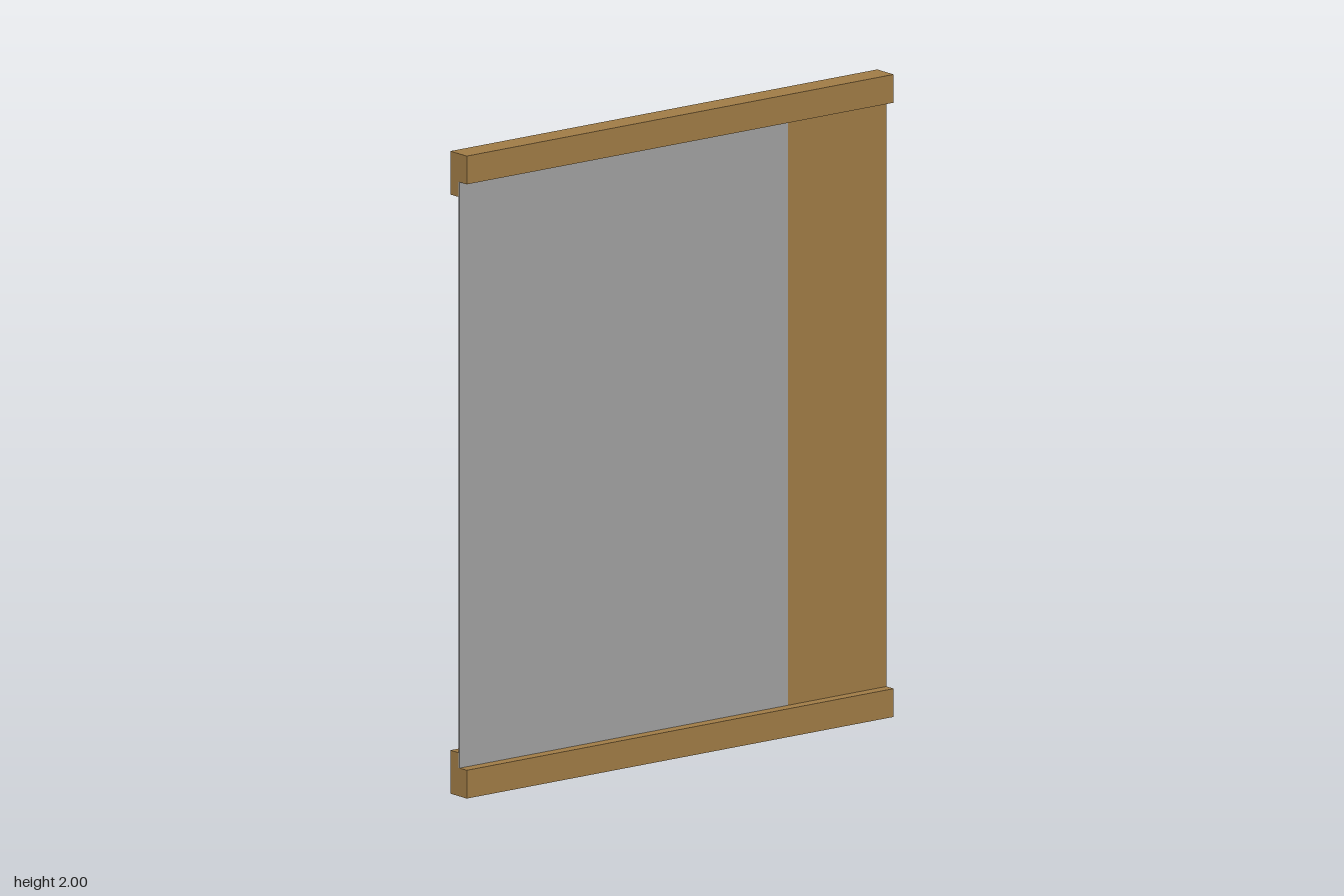
import * as THREE from 'three';

export function createModel() {
  const group = new THREE.Group();
  const wood = new THREE.MeshStandardMaterial({ name: 'wood', color: 0xa07c46 });
  const glass = new THREE.MeshStandardMaterial({ name: 'greyPane', color: 0xa2a2a2 });
  const halfWidth = 0.825;

  // Box given by its lower and upper corners
  function box(name, material, x0, x1, y0, y1, z0, z1) {
    const mesh = new THREE.Mesh(new THREE.BoxGeometry(x1 - x0, y1 - y0, z1 - z0), material);
    mesh.position.set((x0 + x1) / 2, (y0 + y1) / 2, (z0 + z1) / 2);
    mesh.name = name;
    group.add(mesh);
  }

  // Rail with a rebated edge: the back lip reaches further than the front one
  function rail(name, top) {
    const profile = [[-0.04, 0], [0.04, 0], [0.04, 0.088], [0.005, 0.088], [0, 0.088], [0, 0.135], [-0.04, 0.135]]
      .map(([z, y]) => new THREE.Vector2(-z, top ? 2 - y : y));
    const geometry = new THREE.ExtrudeGeometry(new THREE.Shape(profile), {
      depth: halfWidth * 2, bevelEnabled: false,
    });
    geometry.translate(0, 0, -halfWidth).rotateY(Math.PI / 2);
    const mesh = new THREE.Mesh(geometry, wood);
    mesh.name = name;
    group.add(mesh);
  }
  rail('bottomRail', false);
  rail('topRail', true);

  // Wide upright board on one side, and the thin pane beside it
  box('stile', wood, 0.445, halfWidth, 0.088, 1.912, -0.034, 0.005);
  box('pane', glass, -halfWidth, 0.445, 0.088, 1.912, 0, 0.005);
  return group;
}
